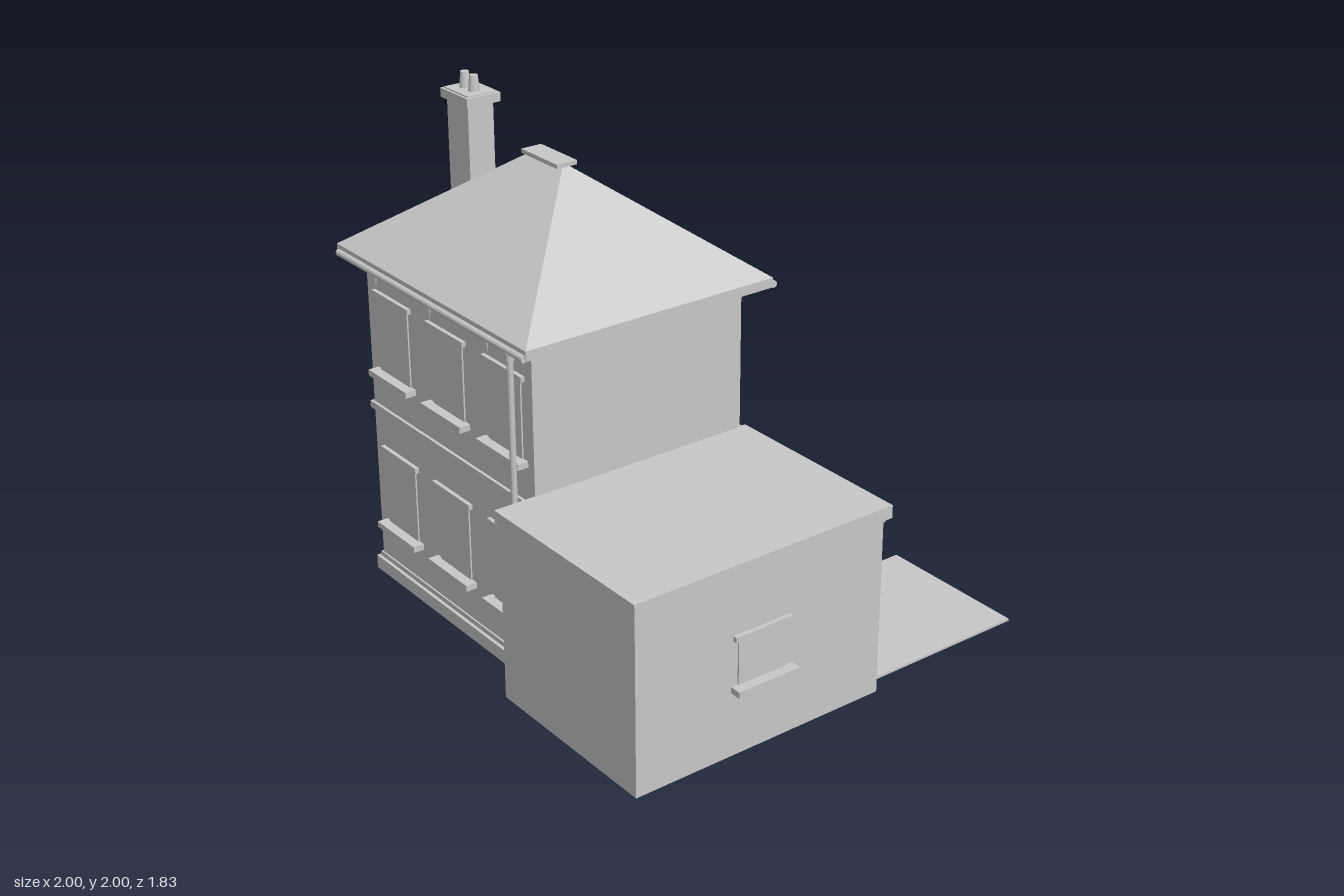
import * as THREE from 'three';

export function createModel() {
  const model = new THREE.Group();
  model.name = 'house';
  const grey = new THREE.MeshStandardMaterial({ color: 0xc8c8c8 });
  grey.name = 'plain grey';

  const add = (name, geo, parent = model) => {
    const mesh = new THREE.Mesh(geo, grey);
    mesh.name = name;
    parent.add(mesh);
    return mesh;
  };
  // Box given by its extents along each axis
  const box = (name, x0, x1, y0, y1, z0, z1, parent = model) => {
    const mesh = add(name, new THREE.BoxGeometry(x1 - x0, y1 - y0, z1 - z0), parent);
    mesh.position.set((x0 + x1) / 2, (y0 + y1) / 2, (z0 + z1) / 2);
    return mesh;
  };
  // Group lying on a wall, with its local +z pointing out of the wall
  const onWall = (name, x, z, turn) => {
    const g = new THREE.Group();
    g.name = name;
    g.position.set(x, 0, z);
    g.rotation.y = turn;
    model.add(g);
    return g;
  };

  // Main body, plinth and the band between floors
  box('walls', -0.92, 0.17, 0.01, 1.34, -0.17, 0.745);
  box('plinth', -0.94, 0.185, 0, 0.055, -0.19, 0.765);
  box('plinthTop', -0.927, 0.177, 0.055, 0.075, -0.177, 0.752);
  box('floorBand', -0.932, 0.182, 0.705, 0.732, -0.182, 0.757);

  // Hipped roof: four eave corners and a short ridge
  const eave = [[-1, 1.37, 0.82], [0.25, 1.37, 0.82], [0.25, 1.37, -0.25], [-1, 1.37, -0.25]];
  const ridge = [[-0.46, 1.772, 0.285], [-0.28, 1.772, 0.285]];
  const [a, b, c, d] = eave, [l, r] = ridge;
  const tris = [a, b, r, a, r, l, b, c, r, c, d, l, c, l, r, d, a, l];
  const roofGeo = new THREE.BufferGeometry();
  roofGeo.setAttribute('position', new THREE.Float32BufferAttribute(tris.flat(), 3));
  roofGeo.computeVertexNormals();
  add('roof', roofGeo);
  box('eaves', -1, 0.25, 1.332, 1.37, -0.25, 0.82);
  box('ridgeCap', -0.485, -0.26, 1.762, 1.778, 0.24, 0.327);

  // Gutters, brackets and downpipes on both long sides
  for (const [z, out, pipeX] of [[0.822, 1, 0.153], [-0.26, -1, -0.9]]) {
    const gutter = add('gutter', new THREE.CylinderGeometry(0.014, 0.014, 1.23, 10));
    gutter.rotation.z = Math.PI / 2;
    gutter.position.set(-0.37, 1.34, z);
    for (const x of [-0.74, -0.37, 0]) {
      const bracket = add('gutterBracket', new THREE.ConeGeometry(0.009, 0.06, 6));
      bracket.rotation.x = Math.PI;
      bracket.position.set(x, 1.3, z - out * 0.01);
    }
    const pipeZ = out > 0 ? 0.82 : -0.247;
    const pipe = add('downpipe', new THREE.CylinderGeometry(0.012, 0.012, 1.24, 10));
    pipe.position.set(pipeX, 0.71, pipeZ);
    for (const y of [0.08, 1.32]) {
      const joint = add('pipeJoint', new THREE.CylinderGeometry(0.017, 0.017, 0.03, 10));
      joint.position.set(pipeX, y, pipeZ);
    }
  }

  // Chimney with two pots
  box('chimney', -0.835, -0.695, 1.38, 1.9, 0.305, 0.415);
  box('chimneyCap', -0.855, -0.675, 1.9, 1.935, 0.285, 0.43);
  box('chimneyCapTop', -0.845, -0.685, 1.935, 1.94, 0.295, 0.42);
  for (const x of [-0.795, -0.735]) {
    const pot = add('chimneyPot', new THREE.CylinderGeometry(0.016, 0.022, 0.066, 14));
    pot.position.set(x, 1.967, 0.36);
  }

  // Garage with flat roof
  box('garage', 0.17, 0.95, 0.01, 0.715, -0.18, 0.895);
  box('garageFascia', 0.175, 0.955, 0.7, 0.72, -0.185, 0.9);
  box('garageRoof', 0.165, 0.972, 0.718, 0.768, -0.2, 0.912);

  // Plain windows: thin pane, lintel and projecting sill
  const plainWindow = (x, z, turn, sillY, top) => {
    const g = onWall('window', x, z, turn);
    box('pane', -0.105, 0.105, sillY, top, -0.01, 0.006, g);
    box('lintel', -0.125, 0.125, top - 0.012, top + 0.008, -0.01, 0.016, g);
    box('sill', -0.133, 0.133, sillY - 0.012, sillY + 0.012, -0.01, 0.045, g);
  };
  for (const [sillY, top] of [[0.88, 1.205], [0.23, 0.557]]) {
    for (const x of [-0.74, -0.37, 0]) plainWindow(x, 0.745, 0, sillY, top);
    plainWindow(-0.92, 0.3, -Math.PI / 2, sillY, top);
  }
  plainWindow(0.95, 0.36, Math.PI / 2, 0.277, 0.477);

  // Framed window with vertical bars and an optional transom
  const framedWindow = (g, w, y0, y1, bars, transom) => {
    const t = 0.02;
    box('pane', -w, w, y0, y1, -0.01, 0.006, g);
    for (const s of [-1, 1]) box('frameSide', s * w - t / 2, s * w + t / 2, y0, y1, -0.01, 0.024, g);
    box('frameTop', -w - t / 2, w + t / 2, y1 - t, y1, -0.01, 0.024, g);
    box('frameBottom', -w - t / 2, w + t / 2, y0, y0 + t, -0.01, 0.024, g);
    for (let i = 1; i <= bars; i++) {
      const x = -w + (2 * w * i) / (bars + 1);
      box('bar', x - 0.006, x + 0.006, y0, y1, -0.01, 0.018, g);
    }
    if (transom) box('transom', -w, w, transom - 0.007, transom + 0.007, -0.01, 0.018, g);
    box('sill', -w - 0.03, w + 0.03, y0 - 0.027, y0, -0.01, 0.05, g);
  };
  for (const x of [-0.09, -0.63]) framedWindow(onWall('upperWindow', x, -0.17, Math.PI), 0.135, 0.89, 1.22, 2);

  // Bay window
  box('bay', -0.87, -0.41, 0.1, 0.575, -0.335, -0.17);
  box('bayRoof', -0.895, -0.385, 0.575, 0.608, -0.362, -0.17);
  box('bayRoofTop', -0.88, -0.4, 0.608, 0.616, -0.35, -0.17);
  framedWindow(onWall('bayFront', -0.64, -0.335, Math.PI), 0.185, 0.195, 0.56, 2, 0.43);
  for (const s of [-1, 1]) {
    const g = onWall('baySide', -0.64 + s * 0.23, -0.255, s * Math.PI / 2);
    box('pane', -0.055, 0.055, 0.19, 0.52, -0.01, 0.006, g);
    box('lintel', -0.07, 0.07, 0.51, 0.535, -0.01, 0.018, g);
    box('sill', -0.07, 0.07, 0.165, 0.19, -0.01, 0.045, g);
  }

  // Entrance: door, frame, canopy and steps
  const door = onWall('entrance', -0.09, -0.17, Math.PI);
  box('door', -0.1, 0.1, 0.06, 0.58, -0.01, 0.012, door);
  for (const s of [-1, 1]) box('doorPost', s * 0.115 - 0.015, s * 0.115 + 0.015, 0.06, 0.6, -0.01, 0.032, door);
  box('doorHead', -0.13, 0.13, 0.58, 0.605, -0.01, 0.032, door);
  box('letterSlot', -0.025, 0.025, 0.29, 0.303, 0, 0.018, door);
  box('canopy', -0.157, 0.157, 0.643, 0.663, -0.01, 0.152, door);
  box('canopyUnderside', -0.14, 0.14, 0.628, 0.643, -0.01, 0.13, door);
  box('lowerStep', -0.15, 0.15, 0, 0.032, -0.01, 0.138, door);
  box('upperStep', -0.13, 0.13, 0.03, 0.06, -0.01, 0.07, door);

  // Garage door on the drive side
  const garageDoor = onWall('garageDoor', 0.575, -0.18, Math.PI);
  box('panel', -0.31, 0.31, 0.015, 0.52, -0.01, 0.006, garageDoor);
  box('lintel', -0.335, 0.335, 0.515, 0.55, -0.01, 0.016, garageDoor);
  box('handle', -0.23, -0.19, 0.18, 0.195, 0, 0.018, garageDoor);

  // Ground slabs and a row of bushes
  box('garden', -0.925, 0.02, 0, 0.01, -0.77, -0.17);
  box('drive', 0.255, 0.88, 0, 0.01, -0.92, -0.17);
  for (let i = 0; i < 5; i++) {
    const bush = add('bush', new THREE.SphereGeometry(1, 12, 8));
    bush.scale.set(0.066, 0.077, 0.054);
    bush.position.set(-0.867 + i * 0.118, 0.084, -0.742);
  }
  return model;
}
